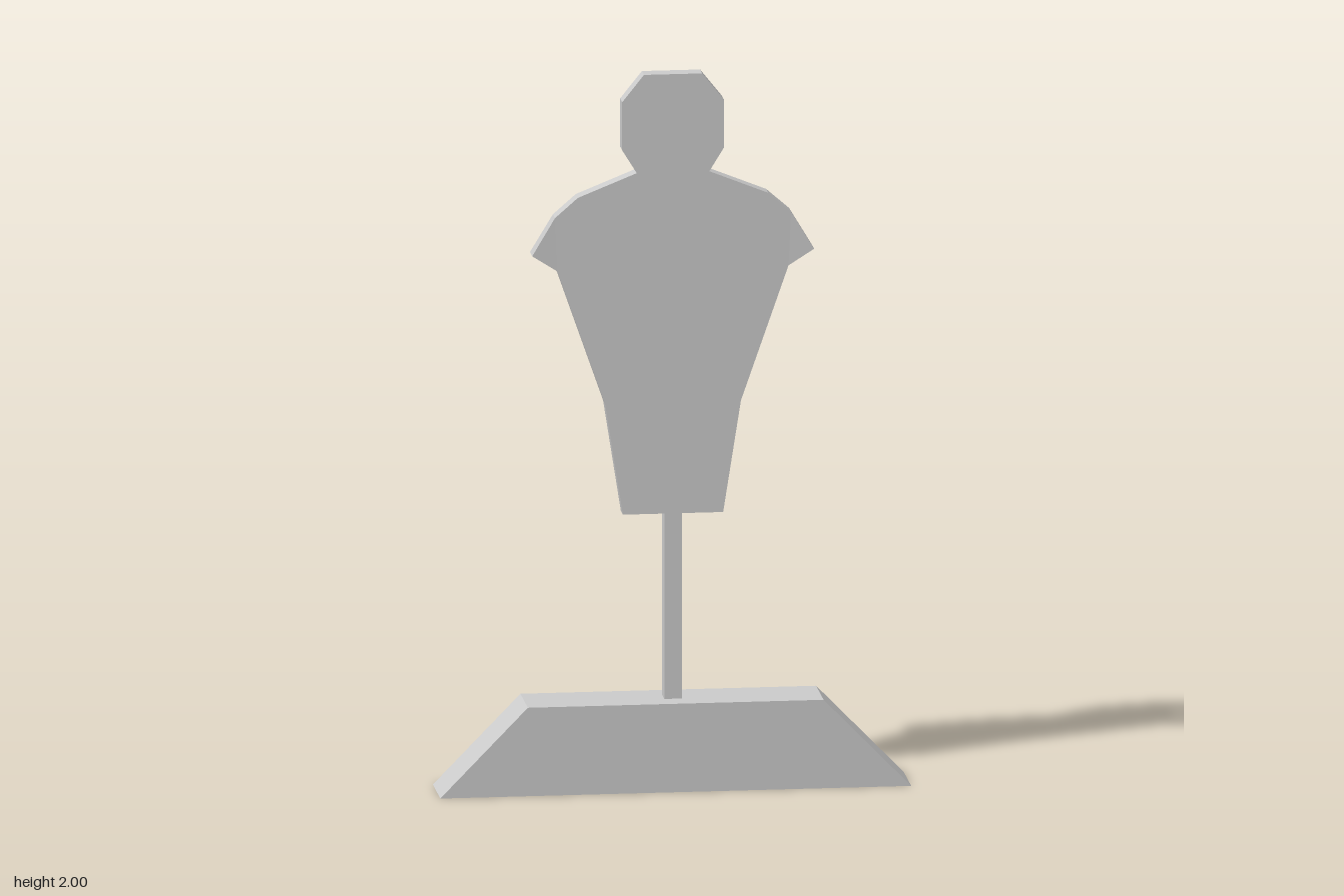
import * as THREE from 'three';

// Mirrors a right-hand outline (top to bottom) and extrudes it about z = 0
function symmetricPlate(name, half, depth, material) {
  const outline = [
    ...half.map(([x, y]) => new THREE.Vector2(x, y)),
    ...half.map(([x, y]) => new THREE.Vector2(-x, y)).reverse(),
  ];
  const geometry = new THREE.ExtrudeGeometry(new THREE.Shape(outline), { depth, bevelEnabled: false });
  geometry.translate(0, 0, -depth / 2);
  const mesh = new THREE.Mesh(geometry, material);
  mesh.name = name;
  return mesh;
}

export function createModel() {
  const group = new THREE.Group();
  group.name = 'silhouetteTarget';
  const material = new THREE.MeshStandardMaterial({ color: 0xcccccc, flatShading: true });

  // Head, shoulders and tapering torso
  const figure = symmetricPlate('figure', [
    [0.08, 2], [0.14, 1.925], [0.14, 1.79], [0.1, 1.725],
    [0.262, 1.66], [0.325, 1.605], [0.388, 1.5], [0.318, 1.455],
    [0.187, 1.08], [0.138, 0.768],
  ], 0.048, material);
  // Sleeve tips are slightly thicker than the rest
  const position = figure.geometry.attributes.position;
  for (let i = 0; i < position.count; i++) {
    if (Math.abs(position.getX(i)) > 0.35) position.setZ(i, position.getZ(i) * 1.1);
  }
  figure.geometry.computeVertexNormals();
  group.add(figure);

  // Square post
  const post = new THREE.Mesh(new THREE.BoxGeometry(0.048, 0.522, 0.048), material);
  post.name = 'post';
  post.position.y = 0.508;
  group.add(post);

  // Trapezoid foot
  group.add(symmetricPlate('base', [[0.407, 0.248], [0.648, 0]], 0.172, material));

  return group;
}
